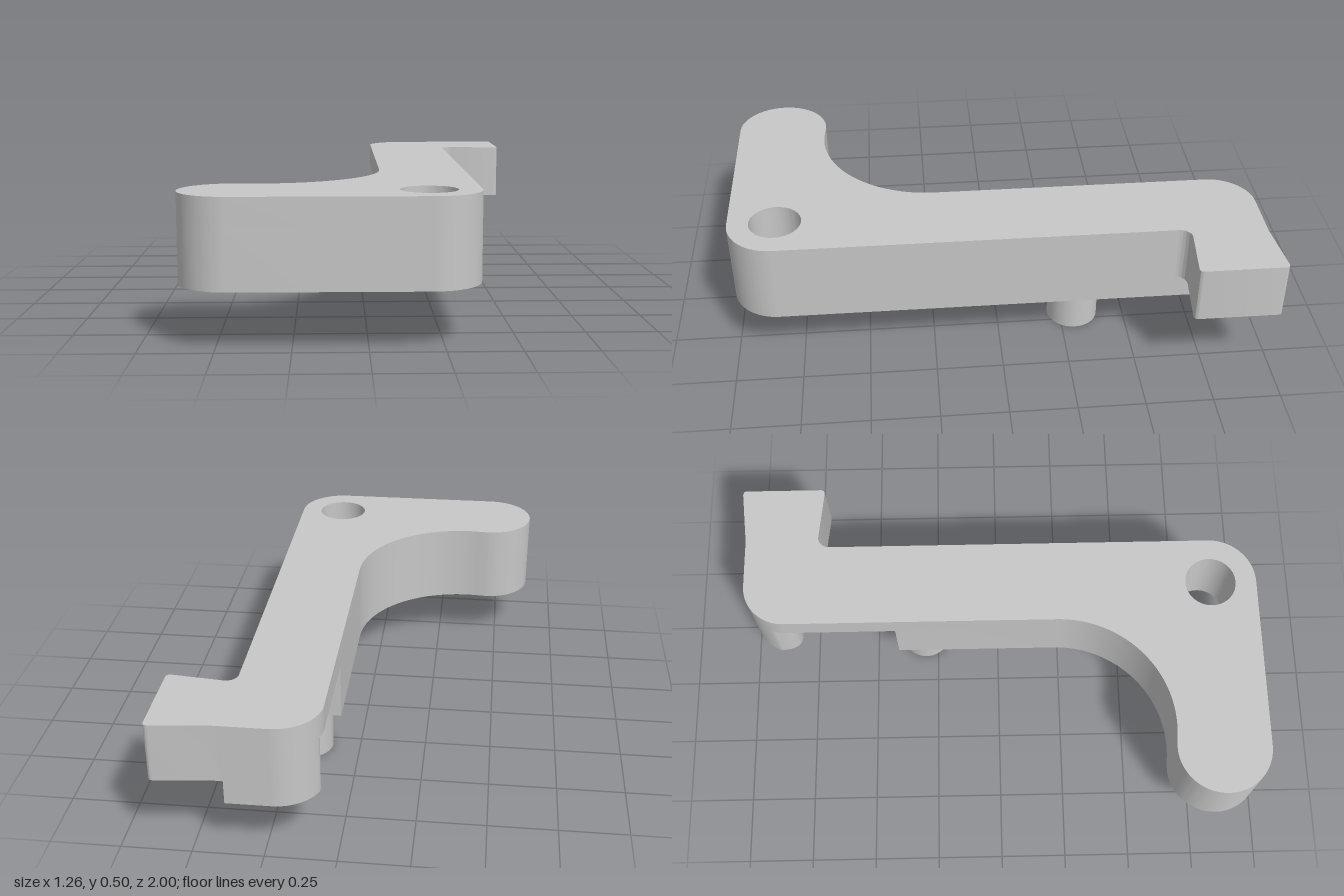
import * as THREE from 'three';
import { toCreasedNormals } from 'three/addons/utils/BufferGeometryUtils.js';

const PI = Math.PI;

// Plan outline of the lever; shape y is -z. The lower layer has a pocket cut in its side.
function leverShape(withPocket) {
  const s = new THREE.Shape();
  s.moveTo(-0.455, -1);
  s.lineTo(0.205, -1);
  s.absarc(0.205, -0.825, 0.175, -PI / 2, 0, false);
  s.lineTo(0.38, 0.98);
  s.lineTo(0.22, 0.98);
  if (withPocket) {
    // Rounded end of the pocket, then its back and front walls
    s.absarc(0.22, 0.82, 0.16, PI / 2, 2.78, false);
    s.quadraticCurveTo(0.07, 0.79, 0.13, 0.79);
    s.lineTo(0.19, 0.79);
    s.quadraticCurveTo(0.245, 0.79, 0.245, 0.73);
    s.lineTo(0.245, 0.4);
    s.lineTo(0.06, 0.4);
  } else {
    s.absarc(0.22, 0.82, 0.16, PI / 2, PI, false);
  }
  s.lineTo(0.06, -0.225);
  s.absarc(-0.37, -0.225, 0.43, 0, -1.69, true);
  s.absarc(-0.455, -0.825, 0.175, 1.45, 1.5 * PI, false);
  const hole = new THREE.Path();
  hole.absarc(0.203, -0.823, 0.097, 0, 2 * PI, true);
  s.holes.push(hole);
  return s;
}

// Flared hook with a filleted inner corner
function hookShape() {
  const s = new THREE.Shape();
  s.moveTo(0.38, 0.655);
  s.absarc(0.422, 0.655, 0.042, PI, PI / 2, true);
  s.lineTo(0.613, 0.677);
  s.quadraticCurveTo(0.63, 0.677, 0.63, 0.695);
  s.lineTo(0.63, 0.985);
  s.quadraticCurveTo(0.63, 1, 0.613, 1);
  s.lineTo(0.41, 0.98);
  s.lineTo(0.38, 0.98);
  s.closePath();
  return s;
}

export function createModel() {
  const group = new THREE.Group();
  const grey = new THREE.MeshStandardMaterial({ color: 0xc7c7c7 });
  grey.name = 'lightGrey';

  function add(name, geometry) {
    const mesh = new THREE.Mesh(geometry, grey);
    mesh.name = name;
    group.add(mesh);
    return mesh;
  }

  // Slab between two heights
  function slab(name, shape, y0, y1) {
    const g = new THREE.ExtrudeGeometry(shape, { depth: y1 - y0, bevelEnabled: false, curveSegments: 32 });
    g.rotateX(-PI / 2);
    g.translate(0, y0, 0);
    return add(name, toCreasedNormals(g, 0.4));
  }

  slab('leverTop', leverShape(false), 0.412, 0.505);
  slab('leverBottom', leverShape(true), 0.198, 0.412);
  slab('hook', hookShape(), 0.288, 0.505);

  // Pivot peg under the arm
  add('peg', new THREE.CylinderGeometry(0.098, 0.098, 0.198, 48)).position.set(0.203, 0.099, -0.3);

  return group;
}
